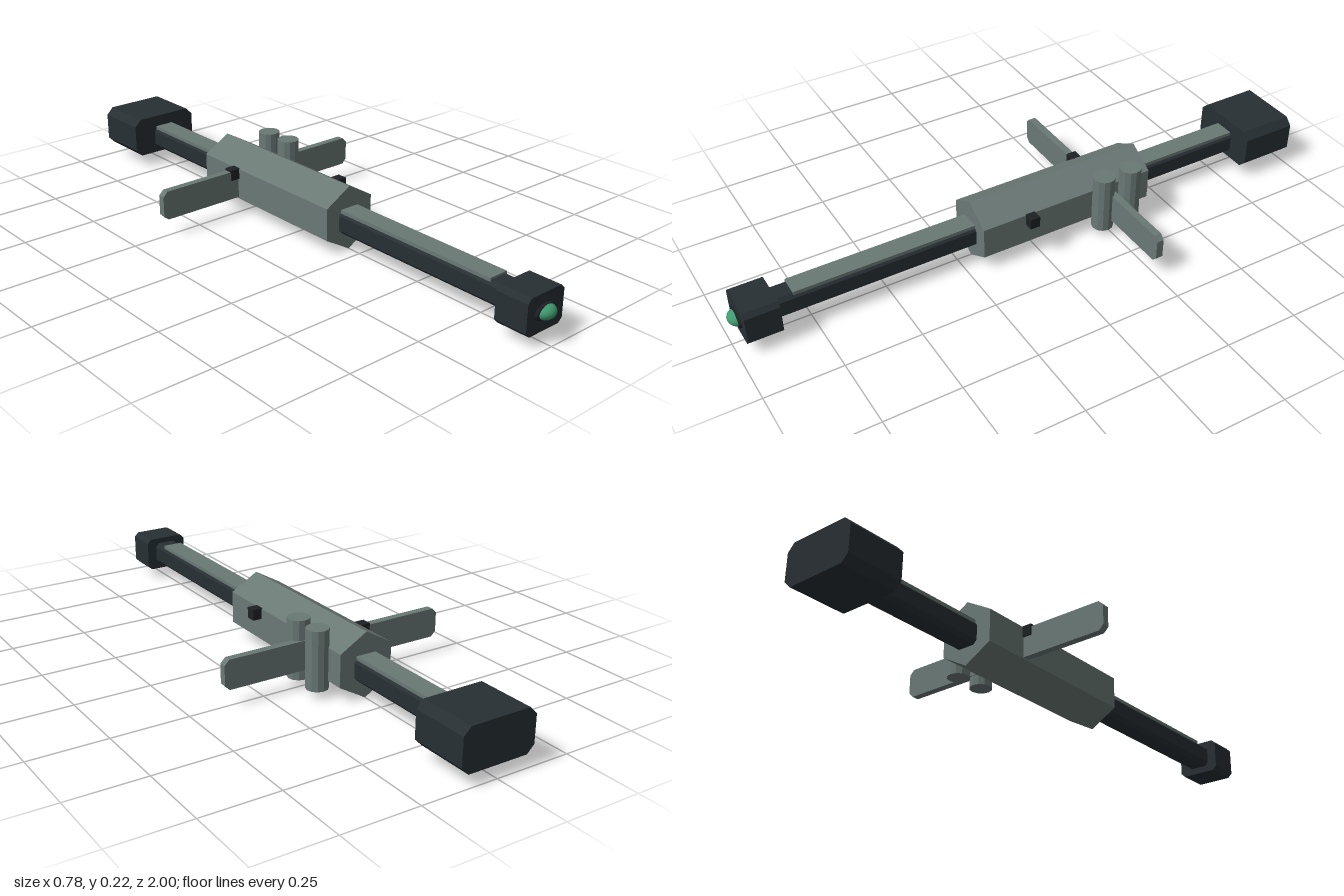
import * as THREE from 'three';

const mat = (color) => new THREE.MeshStandardMaterial({ color, flatShading: true });

export function createModel() {
  const group = new THREE.Group();
  const steel = mat(0x6a7975);
  const dark = mat(0x272f33);
  const black = mat(0x1d2123);
  const green = new THREE.MeshStandardMaterial({ color: 0x3f9a70 });

  const add = (name, geometry, material, x = 0, y = 0, z = 0) => {
    const mesh = new THREE.Mesh(geometry, material);
    mesh.name = name;
    mesh.position.set(x, y, z);
    group.add(mesh);
    return mesh;
  };

  // Extrude an outline along z from z0 to z1
  const prism = (points, z0, z1) => {
    const shape = new THREE.Shape(points.map(([x, y]) => new THREE.Vector2(x, y)));
    const geometry = new THREE.ExtrudeGeometry(shape, { depth: z1 - z0, bevelEnabled: false });
    return geometry.translate(0, 0, z0);
  };

  // Rectangle outline with cut corners
  const cutRect = (w, y0, y1, c) => [
    [-w + c, y0], [w - c, y0], [w, y0 + c], [w, y1 - c],
    [w - c, y1], [-w + c, y1], [-w, y1 - c], [-w, y0 + c],
  ];

  // Hexagonal housing
  const hex = [];
  for (let i = 0; i < 6; i++) {
    const a = Math.PI / 2 + i * Math.PI / 3;
    hex.push([0.106 * Math.cos(a), 0.109 + 0.106 * Math.sin(a)]);
  }
  add('housing', prism(hex, -0.42, 0.2), steel);

  // Long barrel with its top rail
  add('barrel', prism(cutRect(0.041, 0.063, 0.138, 0.013), -0.85, 0.88), dark);
  add('topRail', new THREE.BoxGeometry(0.068, 0.014, 1.62), steel, 0, 0.137, -0.005);

  // End blocks
  add('rearBlock', prism(cutRect(0.124, 0.045, 0.183, 0.024), -1, -0.81), dark);
  add('frontBlock', prism(cutRect(0.075, 0.04, 0.157, 0.014), 0.86, 0.97), dark);

  // Oval lens in its rim
  const rim = add('lensRim', new THREE.TorusGeometry(0.036, 0.008, 8, 24), black, 0, 0.099, 0.97);
  rim.scale.set(1, 0.6, 1);
  const lens = add('lens', new THREE.SphereGeometry(0.034, 20, 14), green, 0, 0.099, 0.97);
  lens.scale.set(1, 0.7, 0.88);

  // Side fins through the housing
  add('sideFins', prism(cutRect(0.39, 0.061, 0.157, 0.016), -0.266, -0.242), steel);

  // Twin upright canisters
  for (const z of [-0.33, -0.229]) {
    add('canister', new THREE.CylinderGeometry(0.036, 0.036, 0.193, 12), steel, 0.112, 0.125, z);
  }

  // Small knobs on the housing sides
  for (const [x, z] of [[0.105, 0.033], [-0.105, -0.254]]) {
    add('knob', new THREE.BoxGeometry(0.036, 0.036, 0.034), black, x, 0.146, z);
  }

  // Rest on the ground
  group.position.y = -0.003;
  return group;
}
